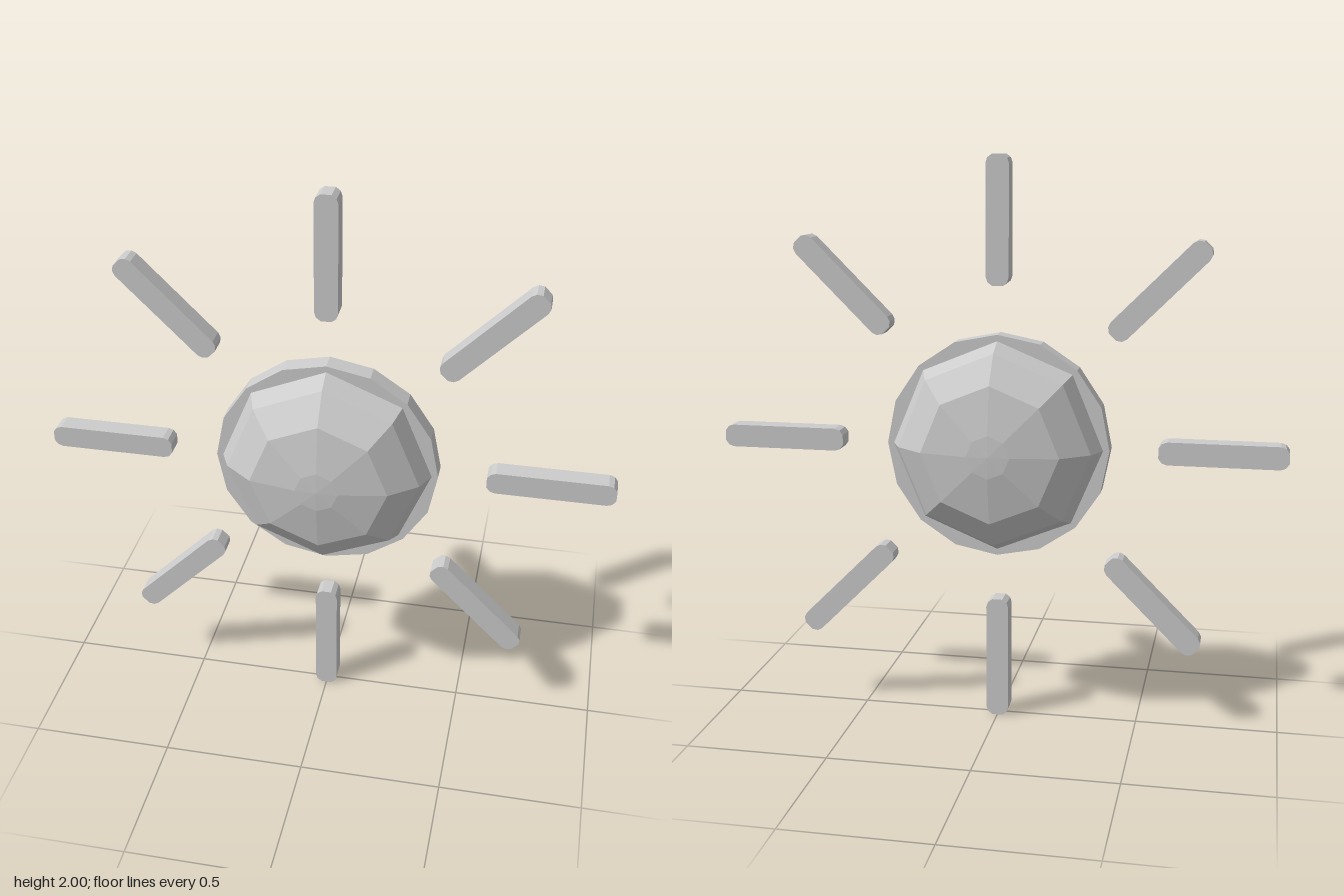
import * as THREE from 'three';

export function createModel() {
  const model = new THREE.Group();
  const material = new THREE.MeshStandardMaterial({ color: 0xcccccc, flatShading: true });
  const centre = new THREE.Group();
  centre.name = 'sun';
  centre.position.y = 1;
  model.add(centre);

  const addMesh = (geometry, name) => {
    const mesh = new THREE.Mesh(geometry, material);
    mesh.name = name;
    centre.add(mesh);
    return mesh;
  };

  // Faceted, flattened body: half profile (radius, depth) mirrored front to back
  const half = [[0, 0.215], [0.075, 0.211], [0.24, 0.182], [0.338, 0.105], [0.373, 0.03]];
  const profile = [
    ...half.map(([r, d]) => new THREE.Vector2(r, -d)),
    ...half.slice().reverse().map(([r, d]) => new THREE.Vector2(r, d)),
  ];
  addMesh(new THREE.LatheGeometry(profile, 8).rotateX(Math.PI / 2), 'body');

  // Sixteen-sided rim around the body
  addMesh(new THREE.CylinderGeometry(0.393, 0.393, 0.07, 16).rotateX(Math.PI / 2), 'rim');

  // Ray bar with faceted round corners, pointing up
  const inner = 0.56, outer = 1;
  const end = [[0.04, 0.03], [0.034, 0.012], [0.018, 0]];
  const corners = [
    ...end.map(([x, d]) => [x, outer - d]),
    ...end.slice().reverse().map(([x, d]) => [-x, outer - d]),
    ...end.map(([x, d]) => [-x, inner + d]),
    ...end.slice().reverse().map(([x, d]) => [x, inner + d]),
  ].map(([x, y]) => new THREE.Vector2(x, y));
  const rayGeometry = new THREE.ExtrudeGeometry(new THREE.Shape(corners), { depth: 0.07, bevelEnabled: false });
  rayGeometry.translate(0, 0, -0.035);

  // Eight rays in a circle
  for (let i = 0; i < 8; i++) {
    addMesh(rayGeometry, `ray${i + 1}`).rotation.z = (i * Math.PI) / 4;
  }
  return model;
}
